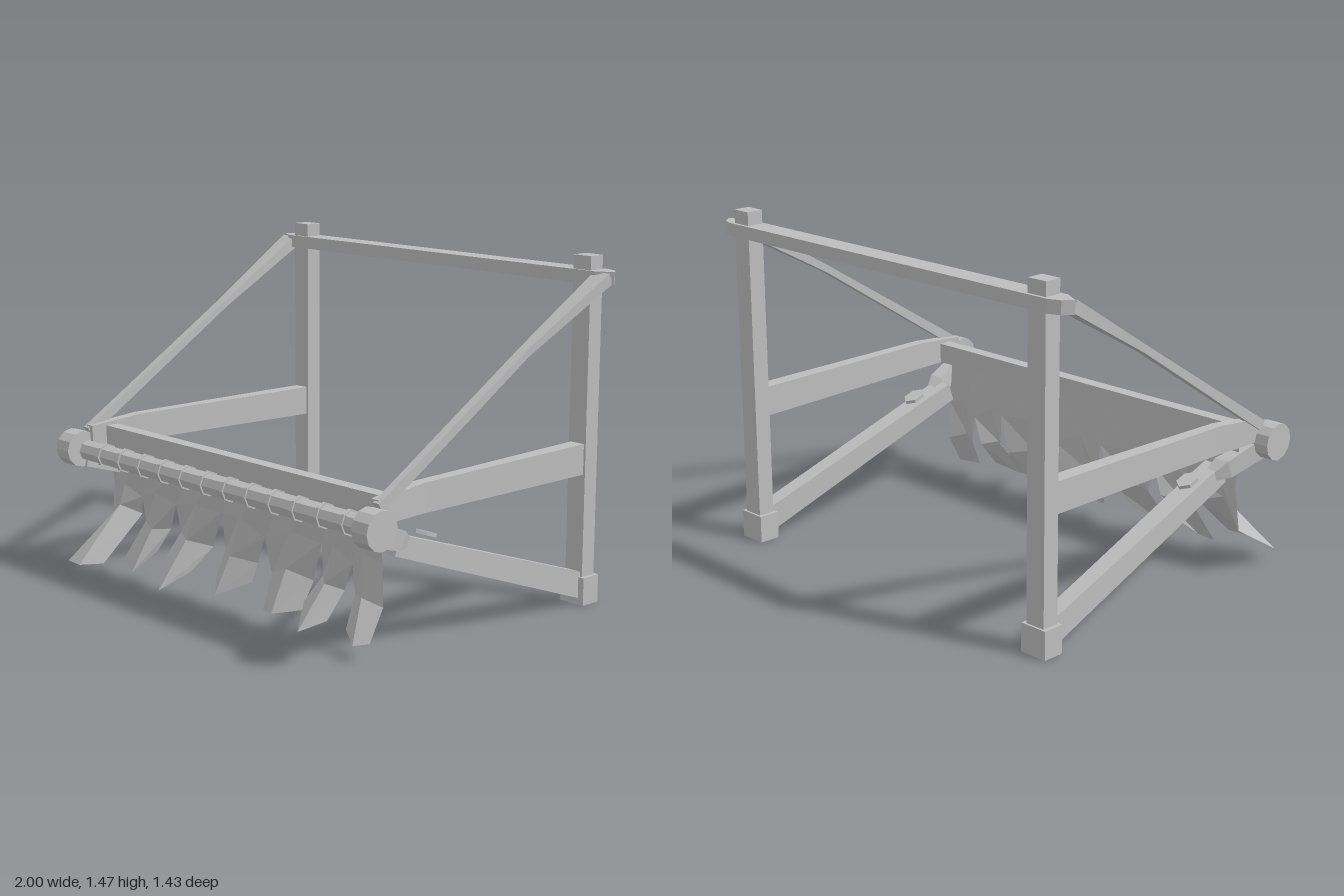
import * as THREE from 'three';

const grey = new THREE.MeshStandardMaterial({ color: 0xbdbdbd, flatShading: true });
grey.name = 'paleGrey';
const clothGrey = grey.clone();
clothGrey.name = 'paleGreyCloth';
clothGrey.side = THREE.DoubleSide;

function add(group, name, geometry, x = 0, y = 0, z = 0, material = grey) {
  const mesh = new THREE.Mesh(geometry, material);
  mesh.name = name;
  mesh.position.set(x, y, z);
  group.add(mesh);
  return mesh;
}

function fromTriangles(positions) {
  const g = new THREE.BufferGeometry();
  g.setAttribute('position', new THREE.Float32BufferAttribute(positions, 3));
  g.computeVertexNormals();
  return g;
}

// Rectangular timber lofted through sections [x, y, z, width, height]; z must increase
function timber(sections, side) {
  const rings = sections.map(([x, y, z, w, h], i) => {
    const a = sections[Math.max(i - 1, 0)], b = sections[Math.min(i + 1, sections.length - 1)];
    const dy = b[1] - a[1], dz = b[2] - a[2], len = Math.hypot(dy, dz);
    return [[1, 1], [-1, 1], [-1, -1], [1, -1]].map(([u, v]) => [
      side * x + u * w / 2, y + v * h / 2 * dz / len, z - v * h / 2 * dy / len]);
  });
  const out = [];
  const quad = (a, b, c, d) => out.push(...a, ...b, ...c, ...a, ...c, ...d);
  for (let i = 0; i < rings.length - 1; i++) {
    for (let k = 0; k < 4; k++) {
      const n = (k + 1) % 4;
      quad(rings[i][k], rings[i][n], rings[i + 1][n], rings[i + 1][k]);
    }
  }
  quad(...[...rings[0]].reverse());
  quad(...rings[rings.length - 1]);
  return fromTriangles(out);
}

// Torn cloth: a strip whose hem runs into folded tatters
function clothGeometry() {
  const apexes = [[-0.89, 0.38], [-0.69, 0.36], [-0.45, 0.37], [-0.14, 0.39],
    [0.13, 0.34], [0.48, 0.39], [0.65, 0.34], [0.82, 0.38]];
  // For each tatter: three middle points, then three bottom points
  const tatters = [
    [[-0.92, 0.2], [-0.8, 0.31], [-0.7, 0.28], [-0.94, 0.06], [-0.82, 0.07], [-0.71, 0.09]],
    [[-0.68, 0.25], [-0.58, 0.24], [-0.5, 0.25], [-0.73, 0.08], [-0.6, 0.06], [-0.54, 0.15]],
    [[-0.43, 0.25], [-0.34, 0.24], [-0.21, 0.23], [-0.46, 0.13], [-0.36, 0.04], [-0.27, 0.12]],
    [[-0.13, 0.24], [-0.05, 0.23], [0.08, 0.22], [-0.14, 0.11], [-0.07, 0.07], [0.07, 0.14]],
    [[0.17, 0.2], [0.3, 0.25], [0.42, 0.22], [0.22, 0.07], [0.3, 0.08], [0.42, 0.11]],
    [[0.47, 0.25], [0.53, 0.24], [0.6, 0.22], [0.43, 0.15], [0.5, 0.06], [0.59, 0.11]],
    [[0.66, 0.22], [0.74, 0.23], [0.82, 0.2], [0.67, 0.09], [0.77, 0.06], [0.82, 0.07]],
  ];
  const drape = (y) => y > 0.25 ? 0.45 + (y - 0.25) * 0.09 : 0.45 + (0.25 - y) ** 2 * 2.4;
  const point = ([x, y], fold = 0) => [x, y, drape(y) + fold];
  const out = [];
  const quad = (a, b, c, d) => out.push(...a, ...b, ...c, ...a, ...c, ...d);

  const hem = [];
  apexes.forEach((p, i) => {
    hem.push(point(p));
    const q = apexes[i + 1];
    if (q) hem.push(point([(p[0] + q[0]) / 2, 0.4], 0.015));
  });
  for (let i = 0; i < hem.length - 1; i++) {
    const a = hem[i], b = hem[i + 1];
    quad(a, b, point([b[0], 0.59]), point([a[0], 0.59]));
  }
  tatters.forEach((t, i) => {
    const curl = i === 0 ? 0.15 : 0.02 * (i % 3);
    const rows = [hem.slice(2 * i, 2 * i + 3),
      t.slice(0, 3).map((p, k) => point(p, k === 1 ? 0.045 : 0)),
      t.slice(3).map((p, k) => point(p, curl + (k === 1 ? 0.035 : 0)))];
    for (let r = 0; r < 2; r++) {
      for (let k = 0; k < 2; k++) quad(rows[r + 1][k], rows[r + 1][k + 1], rows[r][k + 1], rows[r][k]);
    }
  });
  return fromTriangles(out);
}

export function createModel() {
  const model = new THREE.Group();
  model.name = 'awningFrame';

  // Rear uprights, braces and roller end on each side
  for (const s of [-1, 1]) {
    const half = new THREE.Group();
    half.name = s > 0 ? 'leftSide' : 'rightSide';
    model.add(half);
    add(half, 'post', new THREE.BoxGeometry(0.09, 1.47, 0.075), s * 0.855, 0.735, -0.668);
    add(half, 'foot', new THREE.BoxGeometry(0.125, 0.12, 0.095), s * 0.855, 0.06, -0.668);
    add(half, 'arm', timber([[0.855, 0.625, -0.64, 0.07, 0.13],
      [0.885, 0.628, 0.33, 0.05, 0.12], [0.9, 0.615, 0.58, 0.04, 0.1]], s));
    add(half, 'lowerStrut', timber([[0.855, 0.08, -0.64, 0.07, 0.11],
      [0.815, 0.448, 0.42, 0.09, 0.085]], s));
    add(half, 'strutSpike', timber([[0.83, 0.435, 0.33, 0.03, 0.02],
      [0.855, 0.472, 0.42, 0.07, 0.08], [0.905, 0.53, 0.6, 0.04, 0.09]], s));
    add(half, 'stay', timber([[0.95, 1.385, -0.65, 0.08, 0.05],
      [0.925, 1.125, -0.2, 0.045, 0.03], [0.915, 0.635, 0.58, 0.03, 0.045]], s));

    const plate = add(half, 'strutPlate', new THREE.CylinderGeometry(0.055, 0.055, 0.015, 6), s * 0.82, 0.455, 0.23);
    plate.rotation.x = -0.33;
    plate.scale.x = 0.75;

    const cap = new THREE.CylinderGeometry(0.08, 0.08, 0.085, 12).rotateZ(Math.PI / 2);
    add(half, 'rollerCap', cap, s * 0.94, 0.565, 0.623);
  }

  // Top beam with chamfered ends
  const outline = new THREE.Shape([[-0.92, -0.72], [0.92, -0.72], [0.97, -0.7], [1, -0.66],
    [0.93, -0.62], [-0.93, -0.62], [-1, -0.66], [-0.97, -0.7]].map((p) => new THREE.Vector2(...p)));
  const beam = new THREE.ExtrudeGeometry(outline, { depth: 0.055, bevelEnabled: false }).rotateX(Math.PI / 2);
  add(model, 'topBeam', beam, 0, 1.412, 0);

  // Front crossbar and bound roller
  add(model, 'crossbar', new THREE.BoxGeometry(1.78, 0.09, 0.06), 0, 0.613, 0.48);
  add(model, 'roller', new THREE.CylinderGeometry(0.046, 0.046, 1.82, 8).rotateZ(Math.PI / 2), 0, 0.555, 0.595);
  for (let i = 0; i < 12; i++) {
    const ring = new THREE.CylinderGeometry(0.053, 0.053, 0.016, 8).rotateZ(Math.PI / 2);
    add(model, 'binding', ring, -0.76 + i * 0.14, 0.555, 0.595);
  }

  add(model, 'tornCloth', clothGeometry(), 0, 0, 0, clothGrey);
  return model;
}
